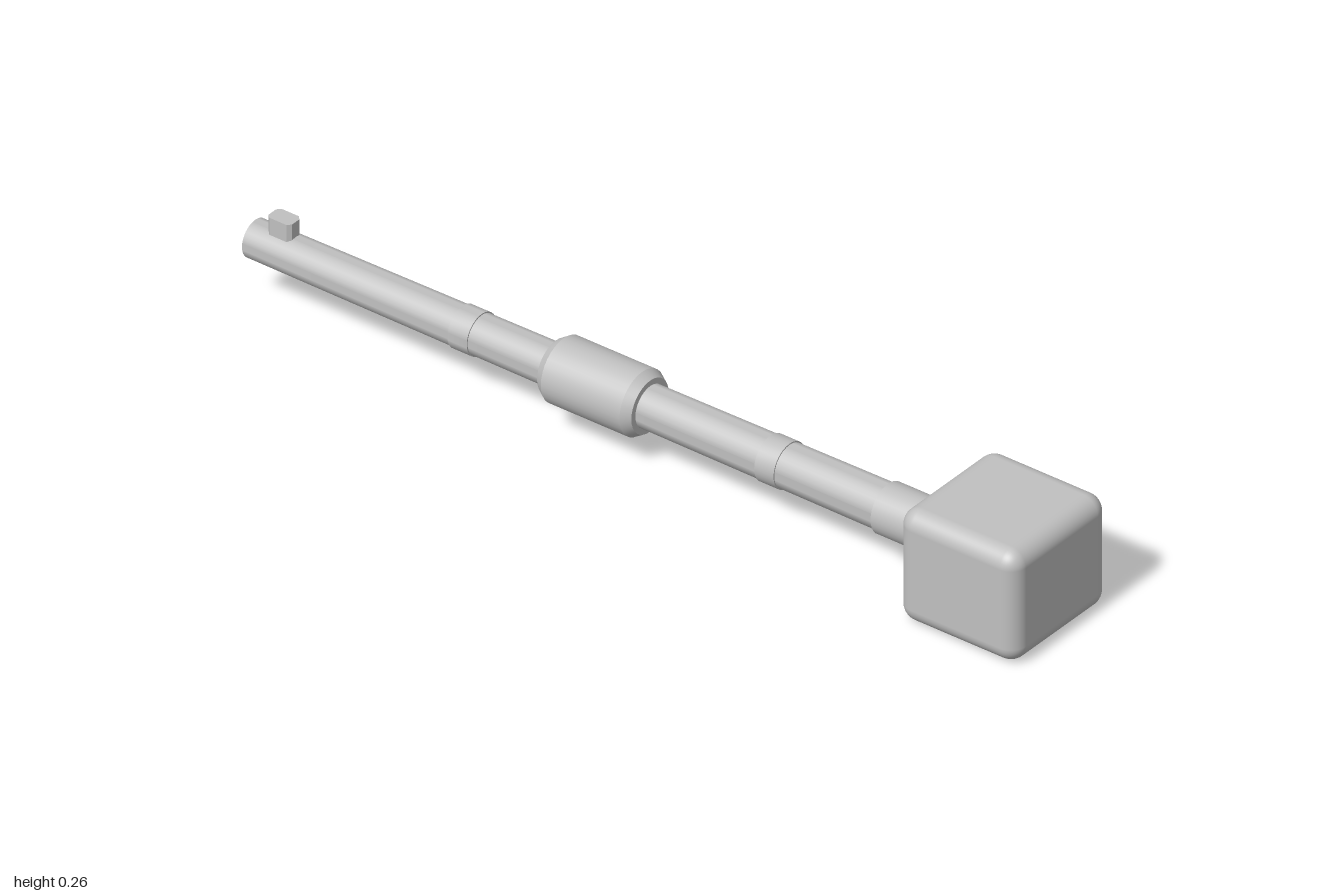
import * as THREE from 'three';
import { RoundedBoxGeometry } from 'three/addons/geometries/RoundedBoxGeometry.js';
import { toCreasedNormals } from 'three/addons/utils/BufferGeometryUtils.js';

const AXIS_X = -0.028, AXIS_Y = 0.132;

export function createModel() {
  const model = new THREE.Group();
  model.name = 'gunBarrel';
  const grey = new THREE.MeshStandardMaterial({ color: 0xc0c0c0 });
  grey.name = 'grey metal';

  const add = (name, geometry, x, y, z) => {
    const mesh = new THREE.Mesh(geometry, grey);
    mesh.name = name;
    mesh.position.set(x, y, z);
    model.add(mesh);
    return mesh;
  };

  // Turned part along the bore: [radius, z] pairs listed from back to front
  const turned = (name, profile) => {
    const points = profile.map(([r, z]) => new THREE.Vector2(r, z));
    const geometry = new THREE.LatheGeometry(points, 32);
    geometry.rotateX(Math.PI / 2);
    return add(name, toCreasedNormals(geometry, 0.45), AXIS_X, AXIS_Y, 0);
  };

  // Rounded mantlet block
  add('mantlet', new RoundedBoxGeometry(0.306, 0.26, 0.295, 5, 0.038), -0.025, 0.13, 0.8525);

  // Tapered tube, closed at the muzzle
  turned('barrel', [[0, -1], [0.042, -1], [0.051, 0.72], [0, 0.72]]);

  // Sleeve at the root
  turned('rootSleeve', [[0, 0.57], [0.056, 0.57], [0.056, 0.72], [0, 0.72]]);

  // Thin clamp bands
  for (const [z, r] of [[0.302, 0.0515], [-0.462, 0.0475]]) {
    turned('clampBand', [[0.04, z - 0.024], [r, z - 0.024], [r, z + 0.024], [0.04, z + 0.024]]);
  }

  // Bore evacuator with chamfered ends
  turned('boreEvacuator', [
    [0.04, -0.254], [0.06, -0.254], [0.0725, -0.235],
    [0.0725, -0.04], [0.06, -0.02], [0.04, -0.02],
  ]);

  // Muzzle reference block, with clipped corners in plan
  const w = 0.02, d = 0.029, c = 0.008;
  const plan = new THREE.Shape([
    [-w + c, -d], [w - c, -d], [w, -d + c], [w, d - c],
    [w - c, d], [-w + c, d], [-w, d - c], [-w, -d + c],
  ].map(([x, y]) => new THREE.Vector2(x, y)));
  const block = new THREE.ExtrudeGeometry(plan, { depth: 0.04, bevelEnabled: false });
  block.rotateX(-Math.PI / 2);
  add('muzzleReference', block, AXIS_X, 0.17, -0.928);

  // Small coaxial tube beside the mantlet
  const pin = new THREE.CylinderGeometry(0.012, 0.012, 0.036, 16);
  pin.rotateX(Math.PI / 2);
  add('coaxialTube', pin, 0.165, 0.1, 0.797);

  return model;
}
